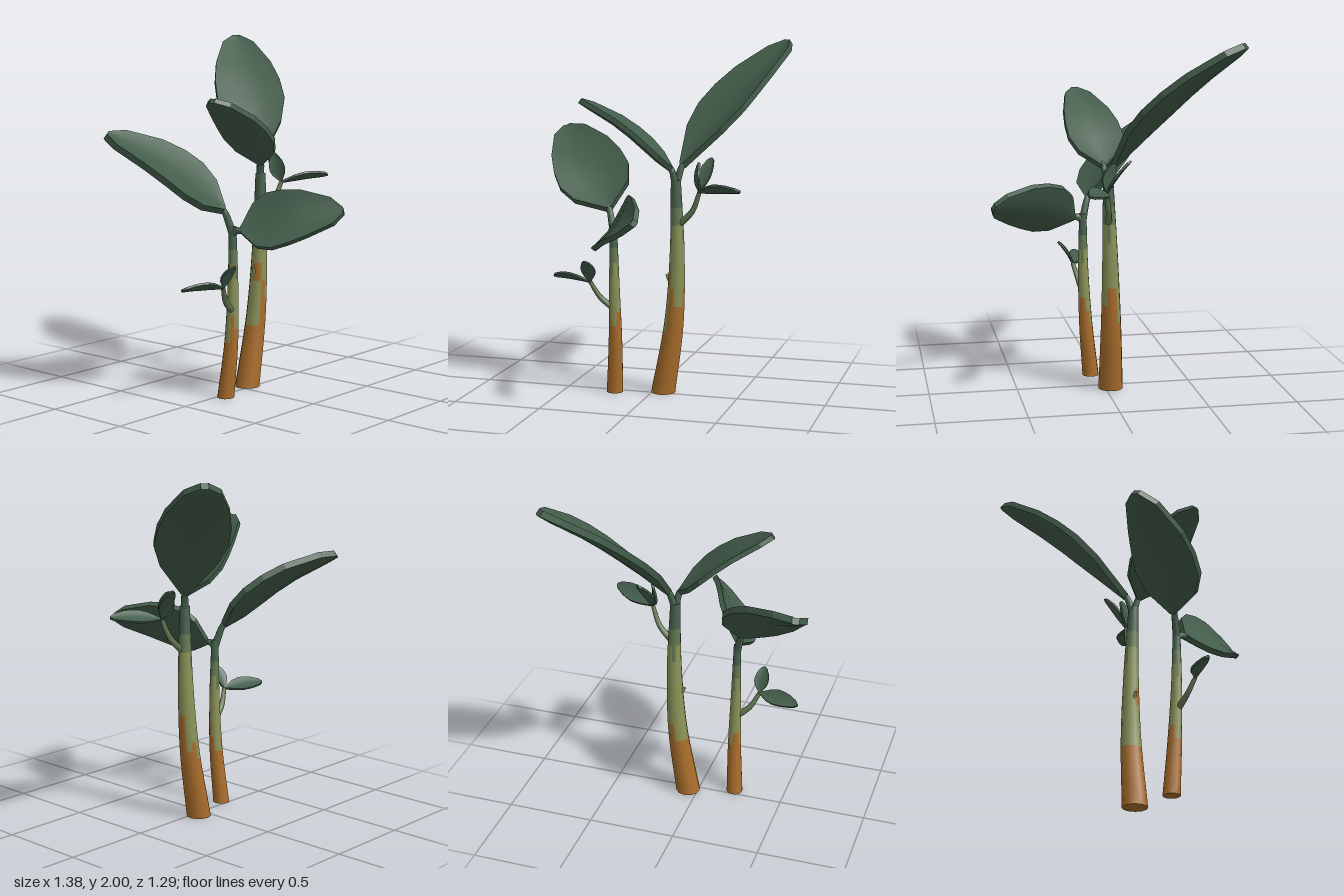
import * as THREE from 'three';

const V = (x, y, z) => new THREE.Vector3(x, y, z);
const UP = V(0, 1, 0);
const paint = (name, color) => {
  const m = new THREE.MeshStandardMaterial({ color });
  m.name = name;
  return m;
};

function makeGeometry(positions, index) {
  const g = new THREE.BufferGeometry();
  g.setAttribute('position', new THREE.Float32BufferAttribute(positions, 3));
  g.setIndex(index);
  g.computeVertexNormals();
  return g;
}

// Leaf outline: distance along the leaf, share of the full half width
const OUTLINE = [[0, 0.08], [0.15, 0.78], [0.3, 1], [0.46, 0.97], [0.64, 0.83], [0.9, 0.47], [1, 0.1]];

// Thick cupped blade from base to tip, arched along its length and rolled about it;
// an ease below 1 gives a more slender base
function leafGeometry(base, tip, half, roll, ease) {
  const along = tip.clone().sub(base), dir = along.clone().normalize();
  const level = dir.clone().cross(UP).normalize();
  const side = level.clone().applyAxisAngle(dir, -roll);
  const normal = side.clone().cross(dir);
  const thick = 0.005 + half * 0.15;
  const cols = 5, rows = OUTLINE.length, pos = [], index = [];
  const add = (i, j, face) => {
    const t = OUTLINE[i][0] ** ease, w = OUTLINE[i][1], u = (j / (cols - 1)) * 2 - 1;
    const arch = half * 1.2 * t * (1 - t), cup = half * 0.2 * w * (1 - u * u);
    const p = base.clone().addScaledVector(along, t).addScaledVector(side, u * w * half);
    p.addScaledVector(normal, arch - cup + face * thick / 2);
    return pos.push(p.x, p.y, p.z) / 3 - 1;
  };
  // upper and lower faces
  for (const face of [1, -1]) {
    const start = pos.length / 3;
    for (let i = 0; i < rows; i++) for (let j = 0; j < cols; j++) add(i, j, face);
    for (let i = 0; i < rows - 1; i++) for (let j = 0; j < cols - 1; j++) {
      const a = start + i * cols + j, c = a + cols;
      if (face > 0) index.push(a, a + 1, c, a + 1, c + 1, c);
      else index.push(a, c, a + 1, a + 1, c, c + 1);
    }
  }
  // rim
  const loop = [];
  for (let i = 0; i < rows; i++) loop.push([i, cols - 1]);
  for (let j = cols - 2; j > 0; j--) loop.push([rows - 1, j]);
  for (let i = rows - 1; i >= 0; i--) loop.push([i, 0]);
  for (let j = 1; j < cols - 1; j++) loop.push([0, j]);
  loop.forEach((p, k) => {
    const q = loop[(k + 1) % loop.length];
    const a = add(...p, -1), b = add(...q, -1), c = add(...q, 1), d = add(...p, 1);
    index.push(a, b, c, a, c, d);
  });
  return makeGeometry(pos, index);
}

// Round tapering stalk along a curve; pick(y, sector) gives each patch its material number
function stalkGeometry(points, r0, r1, rows, sides, pick = () => 0) {
  const curve = new THREE.CatmullRomCurve3(points);
  const pos = [], ys = [], patches = [];
  const put = (m, ...corners) => (patches[m] ??= []).push(...corners);
  const addRing = (t) => {
    const center = curve.getPoint(t), r = THREE.MathUtils.lerp(r0, r1, t);
    // thick trunks keep level rings so that they stand flat
    const axis = r0 > 0.03 ? UP : curve.getTangent(t);
    const turn = new THREE.Quaternion().setFromUnitVectors(UP, axis);
    for (let j = 0; j < sides; j++) {
      const a = (j / sides) * Math.PI * 2;
      const p = V(Math.cos(a) * r, 0, Math.sin(a) * r).applyQuaternion(turn).add(center);
      pos.push(p.x, p.y, p.z);
    }
    return center.y;
  };
  for (let i = 0; i <= rows; i++) ys.push(addRing(i / rows));
  for (let i = 0; i < rows; i++) for (let j = 0; j < sides; j++) {
    const a = i * sides + j, b = i * sides + (j + 1) % sides;
    put(pick((ys[i] + ys[i + 1]) / 2, j), a, a + sides, b, b, a + sides, b + sides);
  }
  // end caps on rings of their own, so the ends stay crisp
  for (const t of [0, 1]) {
    const start = pos.length / 3, m = pick(addRing(t), 0);
    for (let j = 1; j < sides - 1; j++) put(m, start, start + j + t, start + j + 1 - t);
  }
  const g = makeGeometry(pos, patches.flat());
  let at = 0;
  patches.forEach((p, m) => {
    g.addGroup(at, p.length, m);
    at += p.length;
  });
  return g;
}

export function createModel() {
  const orange = paint('orange bark', 0xa96d2b);
  const olive = paint('olive bark', 0x8b9358);
  const moss = paint('moss green stalk', 0x647a54);
  const green = paint('grey green stalk', 0x486350);
  const leafGreen = paint('dark leaf green', 0x425c4a);

  const root = new THREE.Group();
  root.name = 'plant';
  const add = (parent, name, geometry, material) => {
    const mesh = new THREE.Mesh(geometry, material);
    mesh.name = name;
    parent.add(mesh);
  };

  // Trunk with ragged colour bands chosen by pick
  const addTrunk = (name, points, r0, r1, pick) => {
    const group = new THREE.Group();
    group.name = name;
    root.add(group);
    add(group, 'trunk', stalkGeometry(points, r0, r1, 24, 12, pick), [orange, olive, moss, green]);
    group.userData.top = points.at(-1);
    return group;
  };
  // Number of band tops that lie below y
  const band = (y, ...tops) => tops.filter((top) => y > top).length;

  // Blade with a stem reaching from the trunk top to just inside it
  const addLeaf = (group, base, tip, half, roll, ease) => {
    const start = group.userData.top.clone().addScaledVector(UP, -0.04);
    const bend = start.clone().lerp(base, 0.55).addScaledVector(UP, 0.01);
    const path = [start, bend, base, base.clone().lerp(tip, 0.06)];
    add(group, 'leafStem', stalkGeometry(path, 0.022, 0.015, 6, 8), green);
    add(group, 'leaf', leafGeometry(base, tip, half, roll, ease), leafGreen);
  };

  // Twig whose leaflets all spring from its end; each leaflet is [tip, half width, roll]
  const addTwig = (group, points, leaflets) => {
    add(group, 'twig', stalkGeometry(points, 0.02, 0.012, 8, 8), moss);
    for (const leaflet of leaflets) add(group, 'leaflet', leafGeometry(points.at(-1), ...leaflet, 0.7), leafGreen);
  };

  // Tall stalk, with one loose orange patch above the orange base
  const tallOrange = [0.6, 0.49, 0.49, 0.6, 0.38, 0.38, 0.38, 0.38, 0.38, 0.46, 0.39, 0.6];
  const tall = addTrunk('tallStalk',
    [V(0.06, 0, -0.03), V(0.125, 0.41, -0.02), V(0.146, 0.82, -0.01), V(0.14, 1.23, 0)], 0.071, 0.029,
    (y, j) => ((j === 4 || j === 5) && y > 0.6 && y < 0.71 ? 0 : band(y, tallOrange[j], j % 4 ? 0.95 : 0.89, 1.1)));
  addLeaf(tall, V(0.17, 1.31, -0.03), V(0.648, 1.985, -0.625), 0.2, 0, 0.75);
  addLeaf(tall, V(0.12, 1.29, 0.02), V(-0.385, 1.67, 0.105), 0.16, 0, 1);
  addTwig(tall, [V(0.16, 0.98, 0), V(0.24, 1.06, 0.015), V(0.285, 1.17, 0.035)], [
    [V(0.545, 1.2, 0.17), 0.052, 0.48],
    [V(0.325, 1.35, -0.09), 0.042, 0],
    [V(0.27, 1.33, -0.01), 0.045, 1.4],
  ]);
  const bud = [V(0.12, 0.62, -0.015), V(0.085, 0.69, -0.01)];
  add(tall, 'budStub', stalkGeometry(bud, 0.02, 0.008, 3, 8), olive);

  // Short stalk
  const shortOrange = [0.48, 0.48, 0.39, 0.39, 0.48, 0.3, 0.3, 0.39, 0.39, 0.3, 0.3, 0.39];
  const short = addTrunk('shortStalk',
    [V(-0.208, 0, 0.04), V(-0.195, 0.32, 0.07), V(-0.196, 0.64, 0.084), V(-0.2, 0.97, 0.085)], 0.048, 0.021,
    (y, j) => band(y, shortOrange[j], j % 3 ? 0.75 : 0.69, 0.85));
  addLeaf(short, V(-0.235, 1.06, 0.05), V(-0.655, 1.475, -0.43), 0.21, 0.38, 1);
  addLeaf(short, V(-0.195, 0.95, 0.14), V(0.085, 1.075, 0.63), 0.175, -0.91, 1);
  addTwig(short, [V(-0.205, 0.5, 0.085), V(-0.275, 0.56, 0.1), V(-0.325, 0.65, 0.125)], [
    [V(-0.57, 0.66, 0.045), 0.05, -0.5],
    [V(-0.33, 0.78, 0.21), 0.042, 0],
  ]);
  return root;
}
